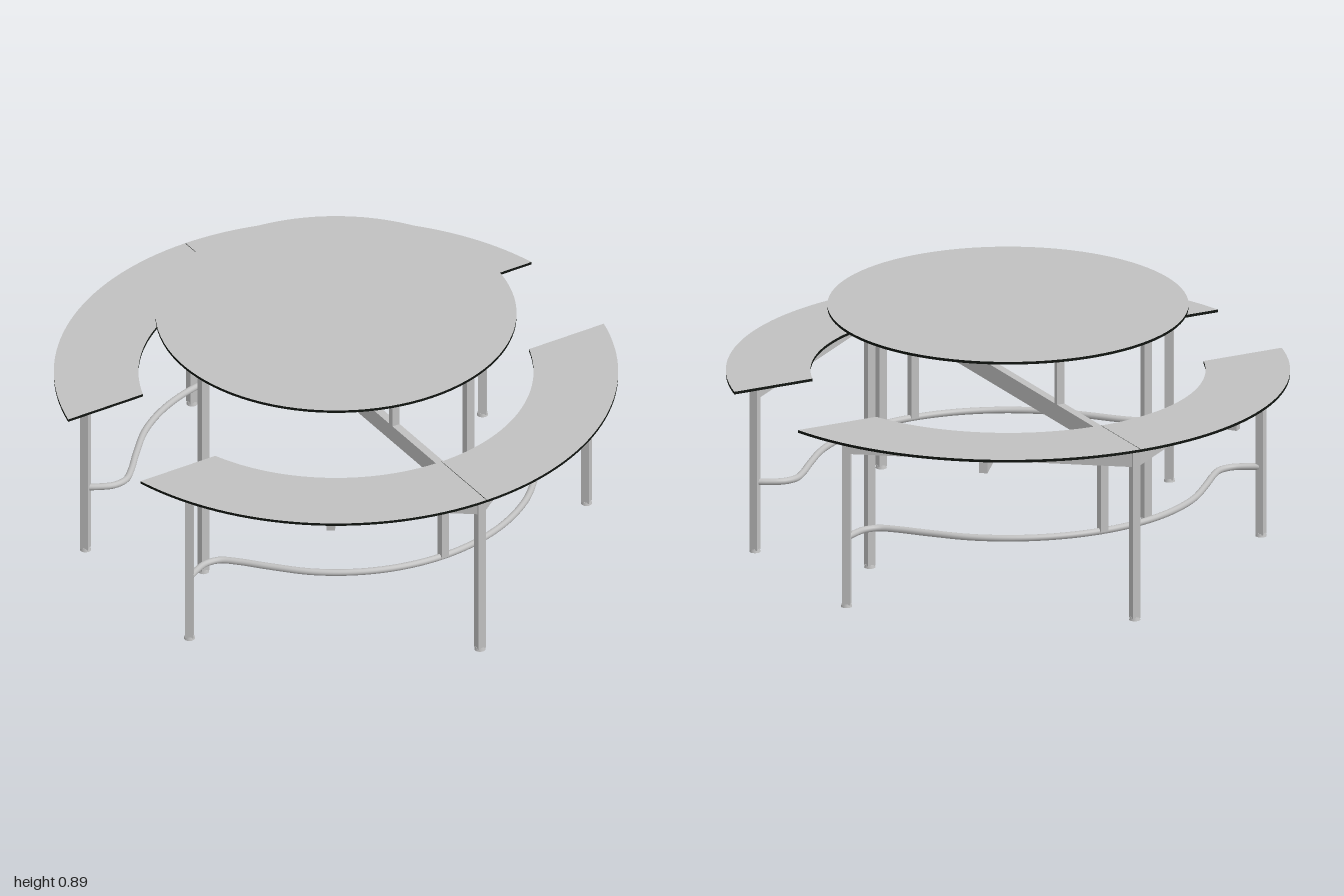
import * as THREE from 'three';

const steel = new THREE.MeshStandardMaterial({ color: 0xc0c0c0 });
steel.name = 'light grey steel';
const edging = new THREE.MeshStandardMaterial({ color: 0x101410 });
edging.name = 'dark edging';

const TOP = 0.895;      // table top height
const SEAT = 0.65;      // seat height
const THICK = 0.01;     // board thickness
const TUBE = 0.03;      // square tube width

function add(parent, name, geometry, x, y, z, material = steel) {
  const mesh = new THREE.Mesh(geometry, material);
  mesh.name = name;
  mesh.position.set(x, y, z);
  parent.add(mesh);
  return mesh;
}

// Axis-aligned box given by its bottom and top heights
function bar(parent, name, x, z, w, d, y0, y1) {
  return add(parent, name, new THREE.BoxGeometry(w, y1 - y0, d), x, (y0 + y1) / 2, z);
}

// Horizontal bar between two [x, z] points
function beam(parent, name, a, b, width, y0, y1) {
  const dx = b[0] - a[0], dz = b[1] - a[1];
  const mesh = bar(parent, name, (a[0] + b[0]) / 2, (a[1] + b[1]) / 2, Math.hypot(dx, dz), width, y0, y1);
  mesh.rotation.y = -Math.atan2(dz, dx);
  return mesh;
}

// Square leg with a round foot
function leg(parent, name, x, z, height, turn = 0) {
  const g = new THREE.Group();
  g.name = name;
  g.position.set(x, 0, z);
  g.rotation.y = turn;
  bar(g, 'legTube', 0, 0, TUBE, TUBE, 0.008, height);
  add(g, 'foot', new THREE.CylinderGeometry(0.017, 0.02, 0.012, 20), 0, 0.006, 0);
  parent.add(g);
}

// Flat board drawn in x/z, hanging down from its top height
function board(parent, name, shape, top) {
  const geo = new THREE.ExtrudeGeometry(shape, { depth: THICK, bevelEnabled: false, curveSegments: 48 });
  geo.rotateX(Math.PI / 2);
  return add(parent, name, geo, 0, top, 0, [steel, edging]);
}

function createTable() {
  const table = new THREE.Group();
  table.name = 'table';
  const under = TOP - THICK;

  const disc = new THREE.Shape();
  disc.absarc(0, 0, 0.64, 0, Math.PI * 2);
  board(table, 'tableTop', disc, TOP);

  // Square frame below the top, with small fixing tabs
  for (const s of [-1, 1]) {
    bar(table, 'frameRail', 0, s * 0.388, 0.8, 0.022, 0.861, under);
    bar(table, 'frameRail', s * 0.388, 0, 0.022, 0.754, 0.861, under);
    for (const t of [-0.2, 0.2]) {
      bar(table, 'fixingTab', t, s * 0.41, 0.016, 0.025, 0.878, under);
      bar(table, 'fixingTab', s * 0.41, t, 0.025, 0.016, 0.878, under);
    }
    leg(table, 'tableLeg', s * 0.555, 0, 0.861);
    bar(table, 'tablePost', 0, s * 0.388, TUBE, 0.022, 0.64, 0.861);
  }
  bar(table, 'crossRail', 0, 0, 1.14, TUBE, 0.859, under);
  return table;
}

function createBench() {
  const bench = new THREE.Group();
  bench.name = 'bench';
  const under = SEAT - THICK;
  const inner = 0.7, outer = 1, cut = 0.24, gap = 0.001;
  const hub = [0, 0.955];

  for (const s of [-1, 1]) {
    // Half of the curved seat
    const pts = [];
    const arc = (r, from, to) => {
      for (let i = 0; i <= 32; i++) {
        const a = from + (to - from) * i / 32;
        pts.push(new THREE.Vector2(s * Math.cos(a) * r, Math.sin(a) * r));
      }
    };
    arc(outer, Math.asin(cut / outer), Math.PI / 2 - gap);
    arc(inner, Math.PI / 2 - gap, Math.asin(cut / inner));
    board(bench, 'seatHalf', new THREE.Shape(pts), SEAT);

    // Straight rail to the end leg, with an outward bracket
    const end = [s * 0.832, 0.345];
    const turn = -Math.atan2(end[1] - hub[1], end[0] - hub[0]);
    beam(bench, 'seatRail', hub, end, TUBE, 0.575, under);
    leg(bench, 'endLeg', end[0], end[1], under, turn);
    beam(bench, 'seatBracket', [s * 0.42, 0.655], [s * 0.512, 0.775], TUBE, 0.575, under);

    // Fixing tabs on both sides of the rail
    for (const t of [0.16, 0.92]) {
      const x = hub[0] + (end[0] - hub[0]) * t, z = hub[1] + (end[1] - hub[1]) * t;
      const nx = s * 0.59 * 0.035, nz = 0.81 * 0.035;
      beam(bench, 'fixingTab', [x - nx, z - nz], [x + nx, z + nz], 0.02, 0.632, under);
    }
  }
  leg(bench, 'middleLeg', hub[0], hub[1], under);

  // Foot rail: a wide arc with a reversed curve at each end
  const half = [[0.825, 0.345], [0.79, 0.325], [0.74, 0.305], [0.685, 0.312], [0.635, 0.355]];
  const path = half.map(([x, z]) => new THREE.Vector3(x, 0.26, z));
  for (let i = 0; i <= 8; i++) {
    const a = THREE.MathUtils.degToRad(38 + i * 13);
    path.push(new THREE.Vector3(Math.cos(a) * 0.712, 0.26, Math.sin(a) * 0.712));
  }
  half.reverse().forEach(([x, z]) => path.push(new THREE.Vector3(-x, 0.26, z)));
  add(bench, 'footRail', new THREE.TubeGeometry(new THREE.CatmullRomCurve3(path), 120, 0.012, 12), 0, 0, 0);
  bar(bench, 'footRailHanger', 0, 0.712, TUBE, TUBE, 0.26, 0.58);
  return bench;
}

export function createModel() {
  const model = new THREE.Group();
  model.name = 'roundTableWithBenches';
  model.add(createTable());
  for (const angle of [0, Math.PI]) {
    const bench = createBench();
    bench.rotation.y = angle;
    model.add(bench);
  }
  // Long beam joining both benches and carrying the table posts
  bar(model, 'mainBeam', 0, 0, TUBE, 1.91, 0.575, 0.64);
  return model;
}
